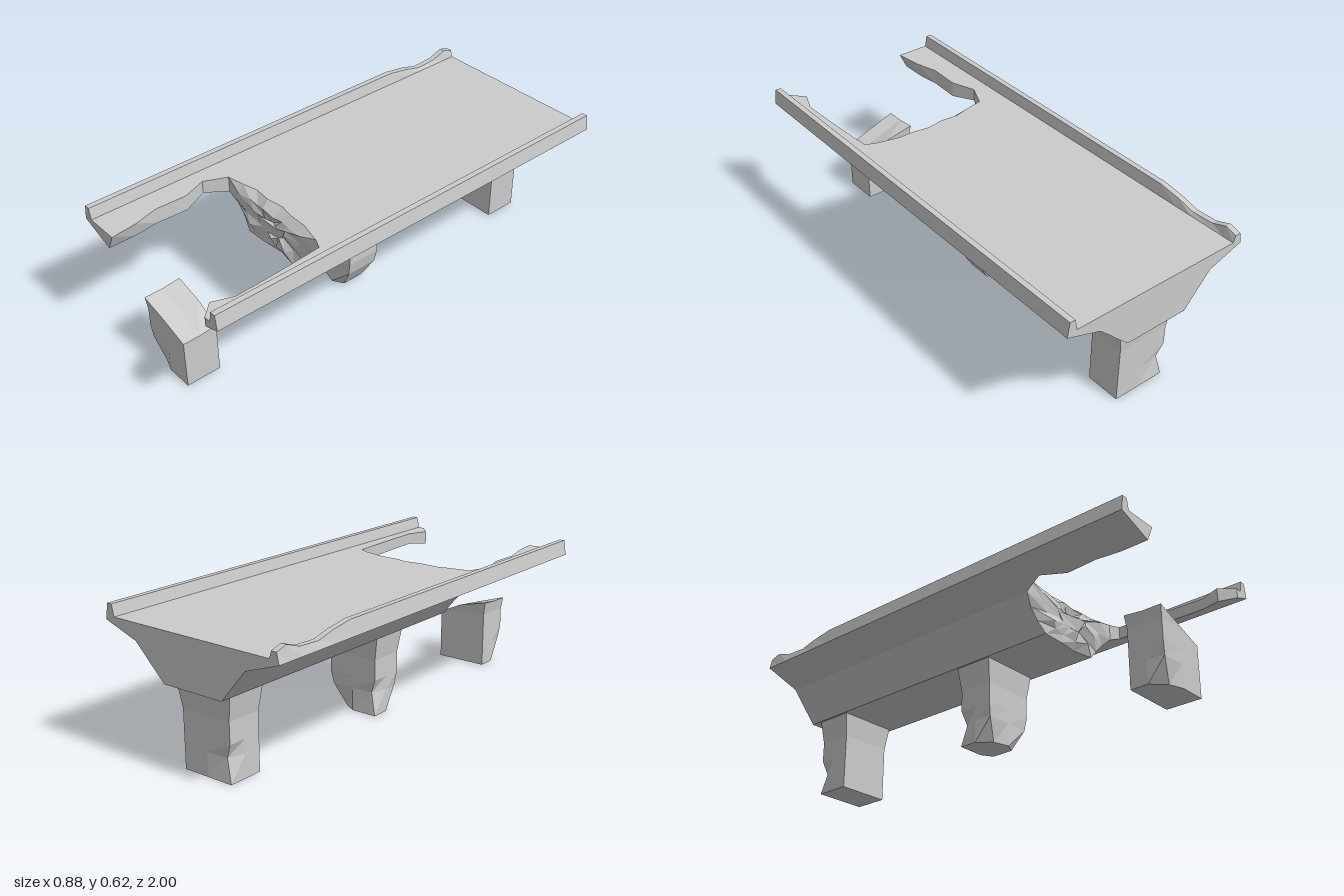
import * as THREE from 'three';

const material = new THREE.MeshStandardMaterial({ color: 0xcccccc, flatShading: true });

// Skins a row of equal-length rings; up = true for rings stacked along y, else along z.
function loft(name, rings, { up = false, capStart = true, capEnd = true, skip = () => false } = {}) {
  const pos = [];
  const tri = (a, b, c) => pos.push(...a, ...b, ...c);
  for (let k = 0; k < rings.length - 1; k++) {
    const r = rings[k], s = rings[k + 1], n = r.length;
    for (let i = 0; i < n; i++) {
      const j = (i + 1) % n;
      if (skip([r[i], r[j], s[j], s[i]])) continue;
      tri(r[i], r[j], s[j]);
      tri(r[i], s[j], s[i]);
    }
  }
  const cap = (ring, flip) => {
    const flat = ring.map(([x, y, z]) => new THREE.Vector2(x, up ? -z : y));
    for (const [a, b, c] of THREE.ShapeUtils.triangulateShape(flat, [])) {
      if (flip) tri(ring[c], ring[b], ring[a]);
      else tri(ring[a], ring[b], ring[c]);
    }
  };
  if (capStart) cap(rings[0], true);
  if (capEnd) cap(rings[rings.length - 1], false);
  const geometry = new THREE.BufferGeometry();
  geometry.setAttribute('position', new THREE.Float32BufferAttribute(pos, 3));
  geometry.computeVertexNormals();
  const mesh = new THREE.Mesh(geometry, material);
  mesh.name = name;
  return mesh;
}

const TOP = 0.567, JOIN = 0.28, BREAK = 0.42;
// Seam faces between the girder and the deck edges stay open.
const seam = quad => quad.every(p => Math.abs(Math.abs(p[0]) - JOIN) < 1e-6 && p[1] > 0.49);
const jag = (x, y) => Math.sin(x * 37 + y * 61) * 0.6 + Math.sin(x * 83 - y * 29) * 0.4;

// Central girder with a ragged broken front
function girder() {
  const outline = [
    [-0.16, 0.355], [-0.06, 0.355], [0.04, 0.355], [0.135, 0.355],
    [0.185, 0.403], [0.235, 0.452], [JOIN, 0.495],
    [JOIN, TOP], [0.18, TOP], [0.1, TOP], [0.03, TOP], [-0.05, TOP], [-0.13, TOP], [-0.2, TOP],
    [-JOIN, TOP], [-JOIN, 0.495], [-0.24, 0.448], [-0.2, 0.402],
  ];
  const back = outline.map(([x, y]) => [x, y, -1]);
  const front = outline.map(([x, y]) => {
    if (Math.abs(x) === JOIN) return [x, y, BREAK];
    return [x, y, (y === TOP ? 0.392 + 0.3 * x * x : 0.412) + 0.01 * jag(x, y)];
  });
  const inner = (s, z) => outline.map(([x, y]) => {
    const px = x * s, py = 0.472 + (y - 0.472) * s;
    return [px + 0.012 * jag(y, x), py + 0.008 * jag(x, y), z + 0.014 * jag(px, py)];
  });
  return loft('girder', [back, front, inner(0.68, 0.425), inner(0.32, 0.425)], { skip: seam });
}

// Deck edge with curb; each station is [z, inner edge, curb height]
function deckEdge(name, side, stations) {
  const rings = stations.map(([z, xi, h]) => {
    const xb = Math.max(xi, JOIN);
    const ring = [
      [xb, 0.495 + (xb - JOIN) * 0.34], [0.44, 0.55], [0.43, h], [0.405, h],
      [0.395, TOP], [xi, TOP],
    ].map(([x, y]) => [x * side, y, z]);
    return side > 0 ? ring : ring.reverse();
  });
  return loft(name, rings, { skip: seam });
}

// Pier with a flared head. chips: [corner sign x, sign z, depth at the foot, depth at mid height]
function pier(name, z0, chips, topY = () => 0.355) {
  const cx = -0.015;
  const around = [[-1, 1], [0, 1], [1, 1], [1, 0], [1, -1], [0, -1], [-1, -1], [-1, 0]];
  const levels = [[0, 0], [0.1, 0], [0.16, 0], [0.25, 0], [0.355, 1]];
  const rings = levels.map(([y, flare], level) => around.map(([sx, sz]) => {
    let x = cx + sx * (0.12 + 0.017 * flare), z = z0 + sz * (0.078 + 0.01 * flare), py = y;
    for (const [chipX, chipZ, foot, mid] of chips) {
      if (sx !== chipX || (chipZ !== 0 && sz !== chipZ)) continue;
      const depth = level === 0 ? foot : level === 1 ? mid : 0;
      x -= sx * depth;
      z -= sz * depth * 0.4;
    }
    const limit = topY(sx, sz);
    if (level === 4) py = limit;
    else if (level === 3) py = Math.min(y, limit - 0.01);
    if (level === 4 && limit < 0.355) {
      const part = Math.max(0, (limit - 0.25) / 0.105);
      x = cx + sx * (0.12 + 0.017 * part);
      z = z0 + sz * (0.078 + 0.01 * part);
    }
    return [x, py, z];
  }));
  return loft(name, rings, { up: true });
}

export function createModel() {
  const model = new THREE.Group();
  model.name = 'brokenBridge';
  const H = 0.617;

  model.add(girder());
  model.add(deckEdge('leftDeckEdge', 1, [
    [-1, JOIN, H], [BREAK, JOIN, H], [0.44, 0.325, H], [0.56, 0.333, H], [0.7, 0.34, H],
    [0.85, 0.345, H], [0.94, 0.31, H], [1, 0.365, H],
  ]));
  // This curb is chipped near the back
  model.add(deckEdge('rightDeckEdge', -1, [
    [-1, JOIN, 0.597], [-0.95, JOIN, 0.612], [-0.88, JOIN, 0.587], [-0.78, JOIN, 0.582],
    [-0.7, JOIN, 0.602], [-0.6, JOIN, H], [BREAK, JOIN, H], [0.52, 0.325, H], [0.63, 0.285, H],
    [0.77, 0.29, H], [0.88, 0.26, H], [1, 0.245, H],
  ]));

  // Front pier is snapped off along a slope
  model.add(pier('frontPier', 0.868, [[-1, 1, 0.055, 0.01]],
    (sx, sz) => 0.262 - 0.041 * sx + (sz < 0 ? 0.008 : 0) + (sx === 0 && sz < 0 ? 0.012 : 0)));
  model.add(pier('middlePier', 0.015, [[1, 0, 0.07, 0.012], [-1, 1, 0.05, 0.01], [-1, -1, 0, 0.025]]));
  model.add(pier('backPier', -0.862, [[-1, -1, 0, 0.025]]));
  return model;
}
